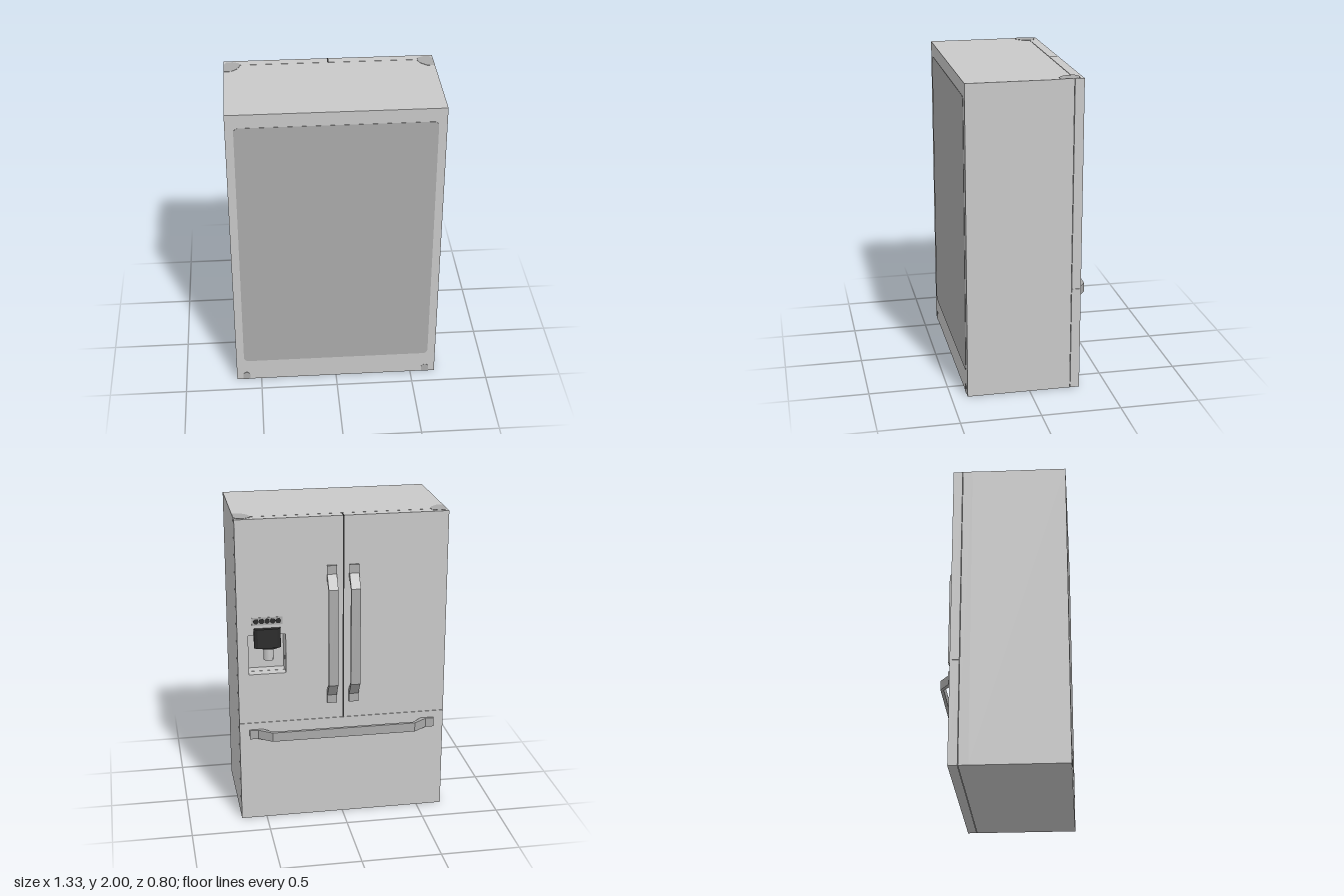
import * as THREE from 'three';

const W = 0.663, BACK = 0.397, FACE = -0.322, DOOR_IN = -0.264;
const mat = (name, color) => Object.assign(new THREE.MeshStandardMaterial({ color }), { name });

export function createModel() {
  const shell = mat('light grey shell', 0xc8c8c8);
  const trim = mat('mid grey trim', 0xaaaaaa);
  const dark = mat('near black plastic', 0x2b2b2b);
  const group = new THREE.Group();
  group.name = 'refrigerator';

  const add = (name, geo, material, x = 0, y = 0, z = 0) => {
    const mesh = new THREE.Mesh(geo, material);
    mesh.name = name;
    mesh.position.set(x, y, z);
    group.add(mesh);
    return mesh;
  };
  const box = (name, material, x0, x1, y0, y1, z0, z1) =>
    add(name, new THREE.BoxGeometry(x1 - x0, y1 - y0, z1 - z0), material,
      (x0 + x1) / 2, (y0 + y1) / 2, (z0 + z1) / 2);
  const polygon = (pts) => pts.map(([a, b]) => new THREE.Vector2(a, b));
  const rect = (x0, x1, y0, y1) => polygon([[x0, y0], [x1, y0], [x1, y1], [x0, y1]]);
  const extrude = (shape, depth) =>
    new THREE.ExtrudeGeometry(shape, { depth, bevelEnabled: false, curveSegments: 8 });

  // Slab between two depths, optionally pierced by the dispenser opening
  const slab = (name, x0, x1, y0, y1, z0, z1, pierced) => {
    const shape = new THREE.Shape(rect(x0, x1, y0, y1));
    if (pierced) shape.holes.push(new THREE.Path(rect(0.36, 0.595, 1.0, 1.26)));
    add(name, extrude(shape, z1 - z0), shell, 0, 0, z0);
  };

  // Cabinet: solid rear and a pierced layer around the dispenser recess
  box('cabinet', shell, -W, W, 0, 2, -0.2, BACK);
  slab('cabinetFront', -W, W, 0, 2, DOOR_IN + 0.003, -0.2, true);

  // Two upper doors, the drawer below and the dark gap between the doors
  slab('leftDoor', 0, W, 0.672, 2, FACE, DOOR_IN, true);
  slab('rightDoor', -W, -0.009, 0.672, 2, FACE, DOOR_IN);
  slab('drawerFront', -W, W, 0, 0.67, FACE, DOOR_IN);
  box('doorGap', dark, -0.009, 0, 0.672, 2, FACE, DOOR_IN);

  // Bent bar handles: along = run of the bar, side = direction of its width
  const handle = (name, half, along, side, x, y) => {
    const right = [[half, 0], [half, 0.015], [half - 0.055, 0.015], [half - 0.14, 0.075]];
    const inner = [[half - 0.145, 0.055], [half - 0.085, 0]];
    const flip = (pts) => pts.map(([a, b]) => [-a, b]).reverse();
    const shape = new THREE.Shape(polygon([...right, ...flip(right), ...flip(inner), ...inner]));
    const geo = extrude(shape, 0.06).translate(0, 0, -0.03);
    geo.applyMatrix4(new THREE.Matrix4().makeBasis(along, new THREE.Vector3(0, 0, -1), side));
    add(name, geo, trim, x, y, FACE);
  };
  const X = new THREE.Vector3(1, 0, 0), Y = new THREE.Vector3(0, 1, 0);
  for (const s of [1, -1])
    handle(s > 0 ? 'leftDoorHandle' : 'rightDoorHandle', 0.455, Y, X.clone().negate(), s * 0.07, 1.235);
  handle('drawerHandle', 0.6, X, Y, 0, 0.595);

  // Dispenser: chamfered control block, spout and nozzle in the recess
  const block = new THREE.Shape(polygon([
    [0.393, 0], [0.56, 0], [0.56, 0.014], [0.538, 0.029], [0.415, 0.029], [0.393, 0.014]]));
  const blockGeo = extrude(block, 0.125);
  blockGeo.applyMatrix4(new THREE.Matrix4().makeBasis(X, new THREE.Vector3(0, 0, -1), Y));
  add('dispenserBlock', blockGeo, dark, 0, 1.18, FACE);
  box('dispenserBlockBack', dark, 0.42, 0.535, 1.18, 1.259, FACE, -0.26);
  add('dispenserSpout', new THREE.CylinderGeometry(0.075, 0.075, 0.1, 20), dark, 0.46, 1.21, -0.245);
  add('dispenserNozzle', new THREE.CylinderGeometry(0.032, 0.032, 0.1, 8), shell, 0.46, 1.12, -0.25);

  // Button strip above the dispenser
  box('buttonStrip', trim, 0.38, 0.57, 1.325, 1.375, FACE - 0.002, FACE);
  for (let i = 0; i < 5; i++) {
    const button = add('button', new THREE.CylinderGeometry(0.017, 0.017, 0.004, 12), dark,
      0.405 + i * 0.035, 1.35, FACE - 0.002);
    button.rotation.x = Math.PI / 2;
  }

  // Rear panel with rounded corners
  const px = 0.612, y0 = 0.152, y1 = 1.912, r = 0.03;
  const panel = new THREE.Shape();
  panel.absarc(px - r, y0 + r, r, -Math.PI / 2, 0);
  panel.absarc(px - r, y1 - r, r, 0, Math.PI / 2);
  panel.absarc(-px + r, y1 - r, r, Math.PI / 2, Math.PI);
  panel.absarc(-px + r, y0 + r, r, Math.PI, Math.PI * 1.5);
  add('rearPanel', extrude(panel, 0.002), trim, 0, 0, BACK);

  // Hinge covers on top and roller covers low on the rear
  const hinge = new THREE.Shape(polygon([
    [0.662, 0.175], [0.615, 0.175], [0.575, 0.21], [0.56, 0.25], [0.565, 0.285], [0.605, 0.305], [0.645, 0.3], [0.662, 0.27]]));
  const roller = new THREE.Shape(polygon([
    [0.575, 0], [0.622, 0], [0.62, 0.045], [0.605, 0.056], [0.59, 0.056], [0.575, 0.04]]));
  for (const s of [1, -1]) {
    const mirrored = (shape) =>
      new THREE.Shape(shape.getPoints().map((p) => new THREE.Vector2(s * p.x, p.y)));
    add('hingeCover', extrude(mirrored(hinge), 0.002).rotateX(-Math.PI / 2), trim, 0, 2, 0);
    add('rollerCover', extrude(mirrored(roller), 0.002), trim, 0, 0, BACK);
  }
  return group;
}
